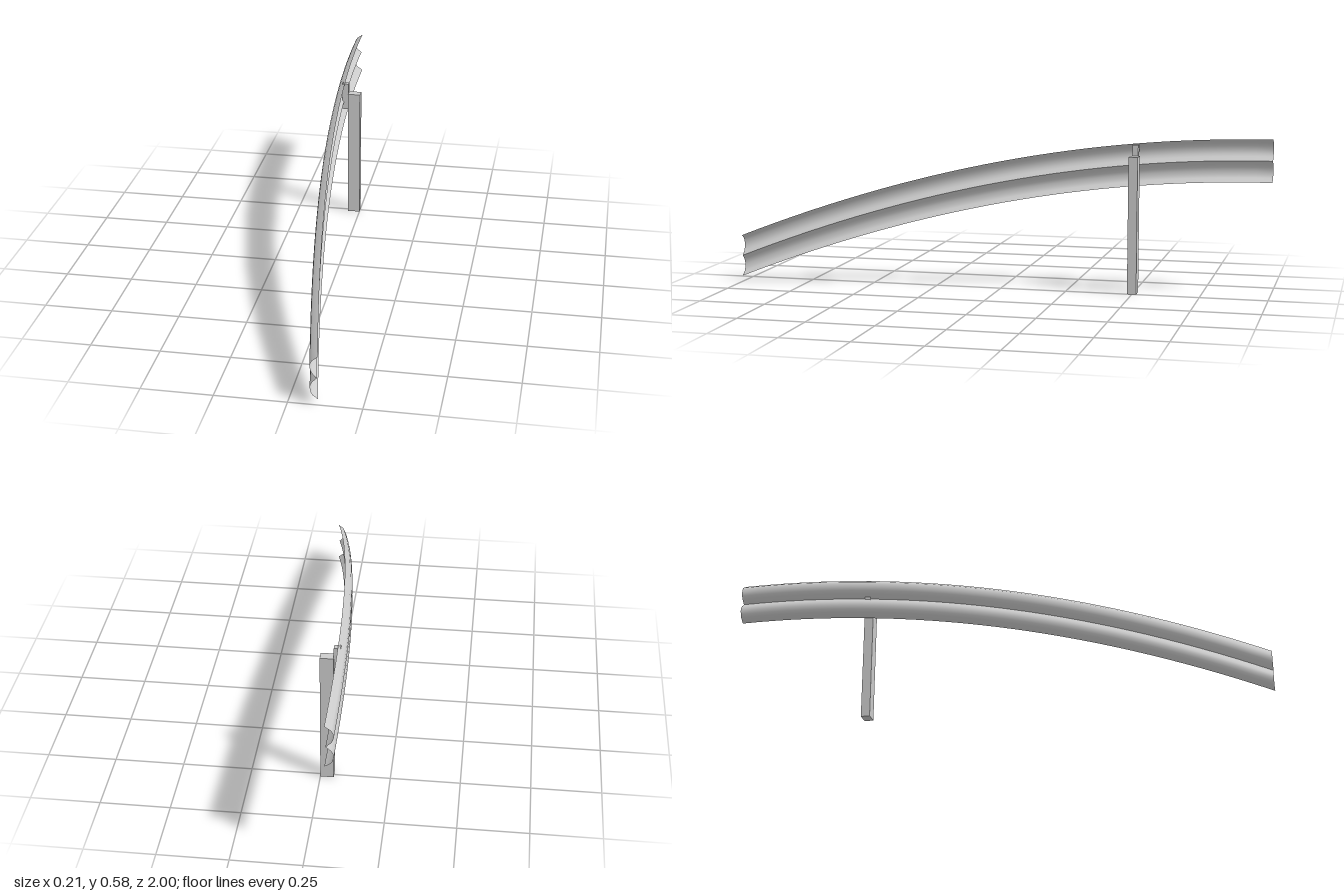
import * as THREE from 'three';

const material = new THREE.MeshStandardMaterial({ color: 0xcccccc });
const railMaterial = new THREE.MeshStandardMaterial({ color: 0xcccccc, side: THREE.DoubleSide });

// Upper wave of the W-beam: [depth from open edge, drop from top edge]
const wave = [[0, 0], [-0.022, -0.015], [-0.028, -0.026], [-0.031, -0.04], [-0.028, -0.053], [-0.021, -0.064], [-0.004, -0.079]];
const HEIGHT = 0.158;

// Sweep the mirrored wave along a parabola that dips and drifts sideways
function railGeometry(segments) {
  const lower = wave.map(([d, y]) => [d, -HEIGHT - y]).reverse();
  const halves = [wave, lower]; // separate halves keep the middle ridge sharp
  const positions = [], indices = [];
  for (const half of halves) {
    const base = positions.length / 3;
    const n = half.length;
    for (let i = 0; i <= segments; i++) {
      const t = i / segments;
      const z = -1 + 2 * t;
      const s = (z + 1) ** 2;
      const depth = 1 - 0.12 * t;
      for (const [d, y] of half) positions.push(-0.073 + 0.0437 * s + d * depth, 0.58 - 0.1 * s + y, z);
    }
    for (let i = 0; i < segments; i++) {
      for (let j = 0; j < n - 1; j++) {
        const a = base + i * n + j, b = a + n;
        indices.push(a, a + 1, b, b, a + 1, b + 1);
      }
    }
  }
  const geometry = new THREE.BufferGeometry();
  geometry.setAttribute('position', new THREE.Float32BufferAttribute(positions, 3));
  geometry.setIndex(indices);
  geometry.computeVertexNormals();
  return geometry;
}

// Box given by its minimum and maximum corners
function box(name, [x0, y0, z0], [x1, y1, z1]) {
  const mesh = new THREE.Mesh(new THREE.BoxGeometry(x1 - x0, y1 - y0, z1 - z0), material);
  mesh.position.set((x0 + x1) / 2, (y0 + y1) / 2, (z0 + z1) / 2);
  mesh.name = name;
  return mesh;
}

export function createModel() {
  const group = new THREE.Group();
  group.name = 'guardrailEnd';

  const rail = new THREE.Mesh(railGeometry(32), railMaterial);
  rail.name = 'rail';
  group.add(rail);

  // Post and the spacer block that joins it to the rail
  group.add(box('post', [-0.048, 0, -0.516], [0, 0.51, -0.482]));
  group.add(box('spacerBlock', [-0.072, 0.445, -0.51], [-0.048, 0.55, -0.488]));
  return group;
}
